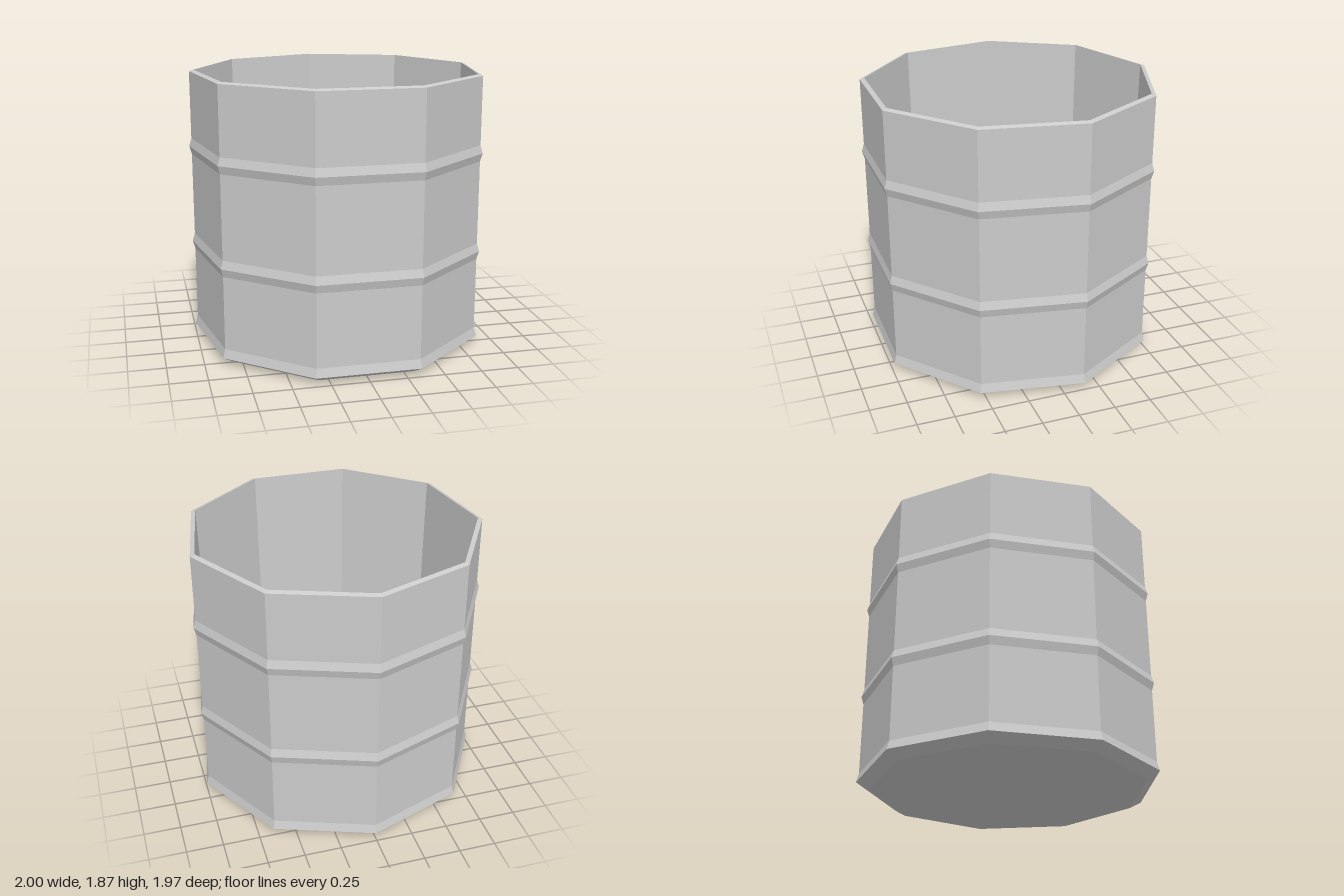
import * as THREE from 'three';

const SIDES = 9;
const WALL = 0.999, RIB = 1.0154, HEIGHT = 1.87, FLOOR = 0.05;

export function createModel() {
  const model = new THREE.Group();
  model.name = 'openDrum';
  const material = new THREE.MeshStandardMaterial({ color: 0xcccccc, flatShading: true });

  // Nine-sided turned part with one corner pointing to the back
  const turned = (name, profile) => {
    const points = profile.map(([r, y]) => new THREE.Vector2(r, y));
    const mesh = new THREE.Mesh(new THREE.LatheGeometry(points, SIDES, Math.PI, Math.PI * 2), material);
    mesh.name = name;
    mesh.position.z = 0.031; // centres the odd-sided outline
    model.add(mesh);
  };

  // Raised V-shaped rib around the wall
  const rib = (y) => [[WALL, y - 0.055], [RIB, y], [WALL, y + 0.055]];

  // Outer wall with bevelled foot and two ribs
  turned('outerWall', [
    [0.928, 0], [RIB, 0.05], [WALL, 0.11],
    ...rib(0.665), ...rib(1.345), [WALL, 1.86],
  ]);

  // Rim, sloping up from the wall to the opening
  turned('rim', [[WALL, 1.86], [0.968, HEIGHT]]);

  // Slightly tapered inner wall
  turned('innerWall', [[0.968, HEIGHT], [0.935, FLOOR]]);

  // Closed bottom, seen from inside and from below
  turned('innerFloor', [[0.935, FLOOR], [0, FLOOR]]);
  turned('base', [[0, 0], [0.928, 0]]);

  return model;
}
